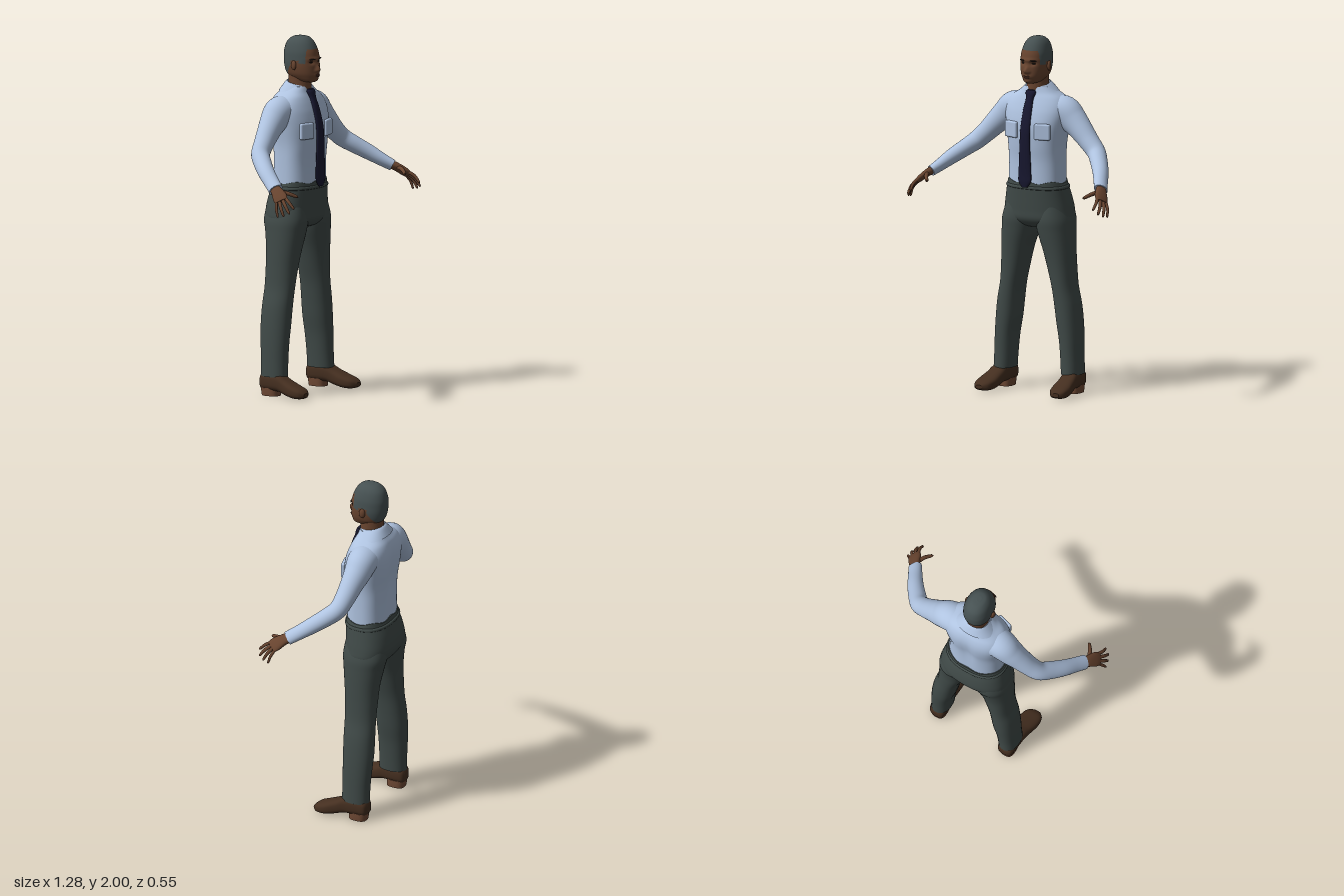
import * as THREE from 'three';
import { RoundedBoxGeometry } from 'three/addons/geometries/RoundedBoxGeometry.js';

const paint = (name, color) => Object.assign(new THREE.MeshStandardMaterial({ color }), { name });
const V = (x, y, z) => new THREE.Vector3(x, y, z);
const bell = (d, width) => Math.exp(-((d / width) ** 2));

// Smoothly interpolate the columns of a short table of cross-sections
function smoothRows(rows, steps) {
  const out = [], last = rows.length - 1;
  for (let k = 0; k <= last * steps; k++) {
    const i = Math.min(Math.floor(k / steps), last - 1), t = k / steps - i;
    const [a, b, c, d] = [i - 1, i, i + 1, i + 2].map(j => rows[Math.max(0, Math.min(last, j))]);
    out.push(b.map((_, n) => 0.5 * (2 * b[n] + (c[n] - a[n]) * t
      + (2 * a[n] - 5 * b[n] + 4 * c[n] - d[n]) * t * t
      + (3 * b[n] - a[n] - 3 * c[n] + d[n]) * t * t * t)));
  }
  return out;
}

// Skin superellipse rings; place(row, tangent) gives centre and two half axes
function loft(rows, place, { n = 32, steps = 5, p = 2.2, cap = true, rule } = {}) {
  const pos = [], idx = [], sm = smoothRows(rows, steps), m = sm.length;
  const pw = q => Math.sign(q) * Math.abs(q) ** (2 / p);
  sm.forEach((r, i) => {
    const a = sm[Math.max(0, i - 1)], b = sm[Math.min(m - 1, i + 1)];
    const [c, u, v] = place(r, V(b[0] - a[0], b[1] - a[1], b[2] - a[2]).normalize());
    for (let j = 0; j < n; j++) {
      const t = j / n * Math.PI * 2;
      const q = c.clone().addScaledVector(u, pw(Math.cos(t))).addScaledVector(v, pw(Math.sin(t)));
      if (rule) rule(q);
      pos.push(q.x, q.y, q.z);
    }
  });
  for (let i = 0; i < m - 1; i++) for (let j = 0; j < n; j++) {
    const a = i * n + j, b = i * n + (j + 1) % n;
    idx.push(a, b, b + n, a, b + n, a + n);
  }
  if (cap) for (const end of [0, m - 1]) {
    const base = pos.length / 3, mid = [0, 0, 0];
    for (let j = 0; j < n; j++) for (let k = 0; k < 3; k++) {
      const q = pos[(end * n + j) * 3 + k];
      pos.push(q); mid[k] += q / n;
    }
    pos.push(...mid);
    for (let j = 0; j < n; j++) {
      const a = base + j, b = base + (j + 1) % n;
      idx.push(...(end ? [a, b, base + n] : [b, a, base + n]));
    }
  }
  // Turn the surface outward
  let vol = 0;
  const at = i => V(pos[i * 3], pos[i * 3 + 1], pos[i * 3 + 2]);
  for (let i = 0; i < idx.length; i += 3) vol += at(idx[i]).dot(at(idx[i + 1]).cross(at(idx[i + 2])));
  if (vol < 0) idx.reverse();
  const g = new THREE.BufferGeometry();
  g.setAttribute('position', new THREE.Float32BufferAttribute(pos, 3));
  g.setIndex(idx);
  g.computeVertexNormals();
  return g;
}

// Ring layouts: level [y, front, back, half width] and limb [x, y, z, width, thickness]
const level = ([y, f, b, w]) => [V(0, y, (f + b) / 2), V(w, 0, 0), V(0, 0, (f - b) / 2)];
const limb = s => ([x, y, z, w, d], t) => {
  const ref = V(0.67 * s, 0.74, 0);
  const v = ref.addScaledVector(t, -ref.dot(t)).normalize(), u = t.clone().cross(v);
  return [V(x, y, z), u.multiplyScalar(Math.max(w, 0.001)), v.multiplyScalar(Math.max(d, 0.001))];
};

export function createModel() {
  const model = new THREE.Group();
  const shirt = paint('shirt blue', 0xafc3e0), trousers = paint('trouser grey', 0x404a48);
  const skin = paint('skin', 0x68442f), hair = paint('hair grey', 0x465152);
  const leather = paint('shoe leather', 0x452f20), heelMat = paint('heel brown', 0x704a35);
  const silk = paint('tie navy', 0x17172f), eyeMat = paint('eye dark', 0x1e1612);
  const lipMat = paint('lip brown', 0x55342a);
  const cloth = paint('collar blue', 0xafc3e0);
  cloth.side = THREE.DoubleSide;
  const add = (name, geo, mat) => {
    const mesh = new THREE.Mesh(geo, mat);
    mesh.name = name;
    model.add(mesh);
    return mesh;
  };
  const blob = (name, mat, size, at) => {
    const mesh = add(name, new THREE.SphereGeometry(1, 20, 14), mat);
    mesh.scale.set(...size);
    mesh.position.set(...at);
    return mesh;
  };

  // Torso with a shallow groove down the spine
  add('torso', loft([
    [1.17, 0, -0.235, 0.163], [1.3, 0, -0.235, 0.163], [1.4, 0.01, -0.24, 0.166],
    [1.5, 0.014, -0.253, 0.18], [1.57, 0, -0.256, 0.19], [1.62, -0.018, -0.25, 0.184],
    [1.66, -0.036, -0.236, 0.158], [1.69, -0.05, -0.217, 0.112], [1.72, -0.058, -0.2, 0.075],
  ], level, { n: 56, p: 2.5, rule: q => {
    if (q.z < -0.12) q.z += 0.014 * bell(q.x, 0.035) * bell(q.y - 1.45, 0.16);
  } }), shirt);

  // Collar, higher at the back and drawn to two points at the front
  add('collar', loft([
    [1.735, -0.06, -0.188, 0.066], [1.722, -0.056, -0.2, 0.078], [1.675, -0.036, -0.224, 0.12],
  ], level, { n: 56, cap: false, rule: q => {
    const low = (1.735 - q.y) / 0.06;
    q.y -= (q.z + 0.12) * 0.22;
    if (q.z > -0.1) q.y -= 0.022 * low * bell(Math.abs(q.x) - 0.055, 0.025);
  } }), cloth);

  add('tie', loft([
    [1.705, -0.045, 0.024, 0.012], [1.69, -0.042, 0.031, 0.018], [1.655, -0.03, 0.023, 0.016],
    [1.6, -0.008, 0.027, 0.013], [1.5, 0.018, 0.03, 0.012], [1.4, 0.023, 0.033, 0.012],
    [1.25, 0.022, 0.04, 0.012], [1.2, 0.024, 0.04, 0.012], [1.165, 0.024, 0.018, 0.009],
  ], ([y, z, w, d]) => [V(0, y, z), V(w, 0, 0), V(0, 0, d)], { n: 24 }), silk);

  // Trousers: hips, waistband and legs
  add('hips', loft([
    [1.19, 0.004, -0.24, 0.168], [1.16, 0.005, -0.246, 0.177], [1.1, 0.002, -0.265, 0.19],
    [1.03, -0.002, -0.277, 0.203], [0.98, -0.006, -0.268, 0.205], [0.945, -0.03, -0.245, 0.17],
    [0.93, -0.06, -0.21, 0.1],
  ], level, { n: 56, p: 2.4, rule: q => {
    if (q.y > 1.18) q.y += 0.007 * Math.cos(Math.atan2(q.x, q.z + 0.12) * 6);
  } }), trousers);
  add('waistband', loft([
    [1.15, 0.005, -0.248, 0.179], [1.154, 0.01, -0.253, 0.183],
    [1.164, 0.01, -0.252, 0.181], [1.169, 0.005, -0.245, 0.175],
  ], level, { n: 56, p: 2.4, steps: 3 }), trousers);

  for (const s of [1, -1]) {
    const side = s > 0 ? 'left' : 'right';
    const flip = rows => rows.map(([x, ...rest]) => [x * s, ...rest]);

    // Leg rows: y, inner x, outer x, front, back
    add(side + 'Leg', loft([
      [1.06, 0.02, 0.185, -0.02, -0.25], [0.98, 0.002, 0.211, -0.008, -0.262],
      [0.91, 0.012, 0.217, -0.015, -0.247], [0.8, 0.048, 0.222, -0.03, -0.23],
      [0.7, 0.075, 0.226, -0.04, -0.226], [0.6, 0.1, 0.233, -0.045, -0.225],
      [0.5, 0.115, 0.253, -0.048, -0.228], [0.4, 0.128, 0.264, -0.05, -0.229],
      [0.3, 0.145, 0.27, -0.053, -0.223], [0.2, 0.154, 0.273, -0.055, -0.216],
      [0.11, 0.16, 0.276, -0.053, -0.214],
    ], ([y, i, o, f, b]) => [V(s * (i + o) / 2, y, (f + b) / 2), V((o - i) / 2, 0, 0), V(0, 0, (f - b) / 2)],
    { n: 36 }), trousers);

    // Shoe rows: z, x, sole height, top height, half width
    add(side + 'Shoe', loft([
      [-0.217, 0.218, 0.05, 0.1, 0.025], [-0.2, 0.22, 0.032, 0.125, 0.044],
      [-0.15, 0.222, 0.03, 0.13, 0.049], [-0.08, 0.228, 0.028, 0.125, 0.05],
      [-0.03, 0.233, 0.014, 0.1, 0.053], [0.03, 0.239, 0.002, 0.075, 0.058],
      [0.08, 0.244, 0.003, 0.056, 0.048], [0.105, 0.249, 0.014, 0.036, 0.02],
    ], ([z, x, b, t, w]) => [V(s * x, (b + t) / 2, z), V(w, 0, 0), V(0, (t - b) / 2, 0)],
    { p: 2.8 }), leather);
    add(side + 'Heel', loft([[0, -0.1, -0.205, 0.041], [0.02, -0.1, -0.208, 0.043], [0.045, -0.1, -0.212, 0.044]],
      ([y, f, b, w]) => [V(0.221 * s, y, (f + b) / 2), V(w, 0, 0), V(0, 0, (f - b) / 2)],
      { p: 2.8, steps: 2 }), heelMat);

    // Sleeve from inside the shoulder to the cuff
    add(side + 'Sleeve', loft(flip([
      [0.08, 1.6, -0.14, 0.09, 0.07], [0.16, 1.585, -0.143, 0.085, 0.086],
      [0.215, 1.54, -0.142, 0.075, 0.079], [0.27, 1.49, -0.135, 0.064, 0.067],
      [0.33, 1.43, -0.125, 0.056, 0.057], [0.385, 1.378, -0.108, 0.052, 0.052],
      [0.43, 1.338, -0.06, 0.05, 0.047], [0.48, 1.293, 0.005, 0.046, 0.042],
      [0.52, 1.25, 0.07, 0.042, 0.034], [0.55, 1.22, 0.118, 0.041, 0.029],
    ]), limb(s), { n: 36, p: 2 }), shirt);

    // Hand: palm, four fingers and thumb
    add(side + 'Palm', loft(flip([
      [0.54, 1.23, 0.1, 0.028, 0.022], [0.562, 1.212, 0.135, 0.033, 0.02],
      [0.585, 1.186, 0.172, 0.041, 0.016], [0.6, 1.168, 0.192, 0.036, 0.011],
    ]), limb(s), { n: 24, p: 2.4 }), skin);
    const digit = (name, a, b, r) => {
      const mid = a.map((q, k) => (q + b[k]) / 2 + [0.006, 0.006, 0][k]);
      const near = a.map((q, k) => q * 0.06 + b[k] * 0.94);
      add(side + name, loft(flip([
        [...a, r, r], [...mid, r * 0.95, r * 0.95], [...near, r * 0.7, r * 0.7], [...b, r * 0.2, r * 0.2],
      ]), limb(s), { n: 12, p: 2 }), skin);
    };
    digit('IndexFinger', [0.58, 1.186, 0.206], [0.592, 1.132, 0.273], 0.0095);
    digit('MiddleFinger', [0.593, 1.174, 0.197], [0.617, 1.107, 0.259], 0.01);
    digit('RingFinger', [0.605, 1.164, 0.184], [0.631, 1.092, 0.23], 0.0095);
    digit('LittleFinger', [0.614, 1.157, 0.168], [0.638, 1.085, 0.195], 0.0085);
    digit('Thumb', [0.555, 1.212, 0.15], [0.507, 1.186, 0.236], 0.012);

    // Chest pocket
    const pocket = add(side + 'Pocket', new RoundedBoxGeometry(0.092, 0.092, 0.024, 3, 0.01), shirt);
    pocket.position.set(0.1 * s, 1.482, 0.001);
    pocket.rotation.y = 0.26 * s;

    // Ear, eye and brow
    blob(side + 'Ear', skin, [0.011, 0.028, 0.018], [0.084 * s, 1.842, -0.1]).rotation.y = 0.25 * s;
    blob(side + 'Eye', eyeMat, [0.013, 0.006, 0.008], [0.032 * s, 1.86, -0.019]);
    blob(side + 'Brow', eyeMat, [0.021, 0.004, 0.006], [0.034 * s, 1.876, -0.007]).rotation.y = 0.3 * s;
  }

  // Neck and head; the face is shaped by smooth bumps and hollows
  add('neck', loft([[1.66, -0.05, -0.19, 0.064], [1.73, -0.052, -0.185, 0.06], [1.81, -0.06, -0.185, 0.06]],
    level, { p: 2 }), skin);
  const head = loft([
    [2, -0.09, -0.125, 0.012], [1.992, -0.06, -0.16, 0.038], [1.965, -0.032, -0.192, 0.061],
    [1.92, -0.01, -0.208, 0.076], [1.88, -0.002, -0.211, 0.08], [1.84, 0.001, -0.208, 0.08],
    [1.8, 0.002, -0.198, 0.073], [1.775, -0.001, -0.178, 0.062], [1.753, -0.008, -0.13, 0.045],
    [1.744, -0.022, -0.09, 0.022],
  ], level, { n: 80, steps: 8, rule: q => {
    if (q.z < -0.06) return;
    const { x, y } = q, ax = Math.abs(x);
    q.z += 0.02 * bell(x, 0.012) * bell(y - 1.822, 0.02) + 0.008 * bell(ax - 0.013, 0.008) * bell(y - 1.813, 0.009)
      + 0.006 * bell(x, 0.05) * bell(y - 1.878, 0.01) - 0.011 * bell(ax - 0.032, 0.015) * bell(y - 1.86, 0.011)
      + 0.008 * bell(x, 0.024) * bell(y - 1.785, 0.013) + 0.005 * bell(x, 0.02) * bell(y - 1.758, 0.01);
  } });

  // Divide the head along the hairline
  const isHair = (y, z) => y > (z > -0.035 ? 1.932 : z > -0.072 ? 1.852 : z > -0.125 ? 1.868
    : Math.max(1.78, 1.845 + (z + 0.125) * 1.5));
  const parts = { face: [], hair: [] }, p = head.attributes.position, ix = head.index.array;
  for (let i = 0; i < ix.length; i += 3) {
    const t = [ix[i], ix[i + 1], ix[i + 2]];
    const y = t.reduce((a, k) => a + p.getY(k) / 3, 0), z = t.reduce((a, k) => a + p.getZ(k) / 3, 0);
    parts[isHair(y, z) ? 'hair' : 'face'].push(...t);
  }
  for (const [name, list] of Object.entries(parts)) {
    add(name, head.clone().setIndex(list), name === 'hair' ? hair : skin);
  }
  blob('upperLip', lipMat, [0.02, 0.0035, 0.005], [0, 1.789, 0.006]);
  blob('lowerLip', lipMat, [0.017, 0.004, 0.005], [0, 1.781, 0.006]);
  return model;
}
